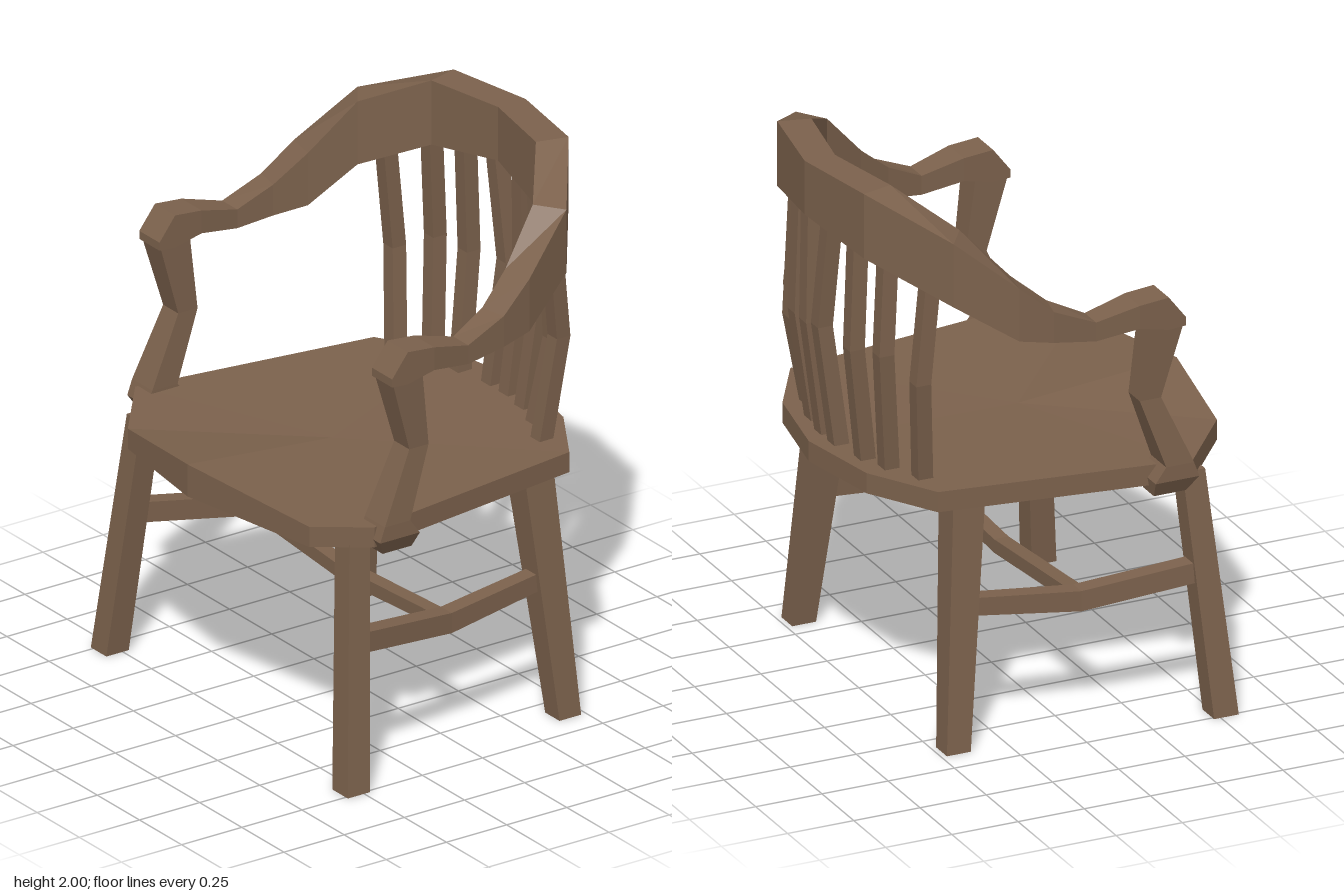
import * as THREE from 'three';

const wood = new THREE.MeshStandardMaterial({ color: 0x7b614c, flatShading: true });
wood.name = 'brownWood';

// Closed solid through rings of points; the ends are fanned from given or averaged centres.
function loft(name, rings, centres = []) {
  const pos = [];
  const tri = (a, b, c) => pos.push(...a, ...b, ...c);
  const n = rings[0].length;
  for (let i = 0; i < rings.length - 1; i++) {
    for (let j = 0; j < n; j++) {
      const k = (j + 1) % n;
      const a = rings[i][j], b = rings[i][k], c = rings[i + 1][k], d = rings[i + 1][j];
      tri(a, b, c);
      tri(a, c, d);
    }
  }
  const mean = (r) => [0, 1, 2].map((q) => r.reduce((s, p) => s + p[q], 0) / n);
  const first = rings[0], last = rings[rings.length - 1];
  const c0 = centres[0] || mean(first), c1 = centres[1] || mean(last);
  for (let j = 0; j < n; j++) {
    const k = (j + 1) % n;
    tri(c0, first[k], first[j]);
    tri(c1, last[j], last[k]);
  }
  // Turn the faces outwards if the solid came out inside out
  let volume = 0;
  const A = new THREE.Vector3(), B = new THREE.Vector3(), C = new THREE.Vector3();
  for (let i = 0; i < pos.length; i += 9) {
    volume += A.fromArray(pos, i).dot(B.fromArray(pos, i + 3).cross(C.fromArray(pos, i + 6)));
  }
  if (volume < 0) {
    for (let i = 0; i < pos.length; i += 9) {
      for (let q = 0; q < 3; q++) {
        [pos[i + 3 + q], pos[i + 6 + q]] = [pos[i + 6 + q], pos[i + 3 + q]];
      }
    }
  }
  const g = new THREE.BufferGeometry();
  g.setAttribute('position', new THREE.Float32BufferAttribute(pos, 3));
  g.computeVertexNormals();
  const mesh = new THREE.Mesh(g, wood);
  mesh.name = name;
  return mesh;
}

// Four-cornered rings lying flat, or standing across z or x
const flatRing = (y, x0, x1, z0, z1) => [[x0, y, z0], [x1, y, z0], [x1, y, z1], [x0, y, z1]];
const zRing = (z, x0, x1, y0, y1) => [[x0, y0, z], [x1, y0, z], [x1, y1, z], [x0, y1, z]];
const xRing = (x, y0, y1, z0, z1) => [[x, y0, z0], [x, y1, z0], [x, y1, z1], [x, y0, z1]];

export function createModel() {
  const chair = new THREE.Group();
  chair.name = 'armchair';

  // Seat: many-sided slab, raised at the middle of the front edge
  const outline = [
    [0, 0.7], [0.58, 0.6], [0.71, 0.42], [0.7, 0.36], [0.58, -0.48], [0.33, -0.63],
    [0, -0.69], [-0.33, -0.63], [-0.58, -0.48], [-0.7, 0.36], [-0.71, 0.42], [-0.44, 0.64],
  ];
  chair.add(loft('seat', [
    outline.map(([x, z]) => [x, 0.88, z]),
    outline.map(([x, z], i) => [x, i === 0 ? 1.0 : 0.955, z]),
  ], [[0, 0.88, 0.1], [0, 0.945, 0.1]]));

  // Back rail and arms: half profile as outer x, z, inner x, z, bottom y, top y
  const half = [
    [0.75, 0.375, 0.63, 0.375, 1.48, 1.51],
    [0.75, 0.31, 0.63, 0.31, 1.475, 1.595],
    [0.75, 0.2, 0.63, 0.2, 1.5, 1.585],
    [0.73, 0.045, 0.64, 0.045, 1.475, 1.545],
    [0.72, -0.11, 0.62, -0.09, 1.495, 1.61],
    [0.7, -0.23, 0.585, -0.21, 1.515, 1.71],
    [0.62, -0.44, 0.52, -0.37, 1.65, 1.885],
    [0.34, -0.645, 0.31, -0.53, 1.76, 2.0],
  ];
  const railRing = (s) => ([ox, oz, ix, iz, y0, y1]) =>
    [[s * ox, y0, oz], [s * ix, y0, iz], [s * ix, y1, iz], [s * ox, y1, oz]];
  chair.add(loft('backRailAndArms', [
    ...half.map(railRing(1)),
    railRing(1)([0, -0.705, 0, -0.59, 1.8, 2.0]),
    ...half.map(railRing(-1)).reverse(),
  ]));

  for (const [s, side] of [[1, 'left'], [-1, 'right']]) {
    // Crooked arm post with a foot that wraps the seat edge
    chair.add(loft(side + 'ArmPost', [
      flatRing(0.85, s * 0.63, s * 0.715, 0.27, 0.39),
      flatRing(0.91, s * 0.63, s * 0.75, 0.26, 0.425),
      flatRing(0.965, s * 0.63, s * 0.75, 0.3, 0.405),
      flatRing(1.22, s * 0.64, s * 0.73, 0.21, 0.29),
      flatRing(1.495, s * 0.635, s * 0.745, 0.245, 0.37),
    ]));

    // Splayed legs
    chair.add(loft(side + 'FrontLeg', [
      flatRing(0, s * 0.67, s * 0.762, 0.475, 0.568),
      flatRing(0.89, s * 0.575, s * 0.66, 0.405, 0.49),
    ]));
    chair.add(loft(side + 'BackLeg', [
      flatRing(0, s * 0.565, s * 0.65, -0.48, -0.39),
      flatRing(0.89, s * 0.46, s * 0.575, -0.42, -0.3),
    ]));

    // Sagging side stretcher
    chair.add(loft(side + 'SideStretcher', [
      zRing(0.44, s * 0.625, s * 0.69, 0.485, 0.56),
      zRing(0.04, s * 0.56, s * 0.625, 0.43, 0.505),
      zRing(-0.37, s * 0.525, s * 0.585, 0.475, 0.54),
    ]));
  }

  // Cross stretcher joining the two side stretchers
  chair.add(loft('crossStretcher', [
    xRing(-0.59, 0.455, 0.505, 0.01, 0.065),
    xRing(0, 0.405, 0.455, 0.01, 0.065),
    xRing(0.59, 0.44, 0.485, 0.01, 0.065),
  ]));

  // Bent spindles: x at the bottom, middle and top, and the height of the bend
  const spindles = [
    [-0.43, -0.49, -0.49, 1.33], [-0.305, -0.355, -0.345, 1.4],
    [-0.2, -0.225, -0.22, 1.38], [-0.05, -0.04, -0.085, 1.4],
    [0.055, 0.055, 0.075, 1.38], [0.175, 0.19, 0.2, 1.36],
    [0.3, 0.34, 0.345, 1.27], [0.425, 0.445, 0.48, 1.33],
  ];
  const w = 0.028;
  spindles.forEach(([x0, x1, x2, bend], i) => {
    const ring = (x, y, z) => flatRing(y, x - w, x + w, z - w, z + w);
    chair.add(loft('spindle' + (i + 1), [
      ring(x0, 0.93, -0.6 + 0.72 * x0 * x0),
      ring(x1, bend, -0.66 + 0.65 * x1 * x1),
      ring(x2, 1.84 - 0.45 * x2 * x2, -0.645 + 0.75 * x2 * x2),
    ]));
  });

  return chair;
}
